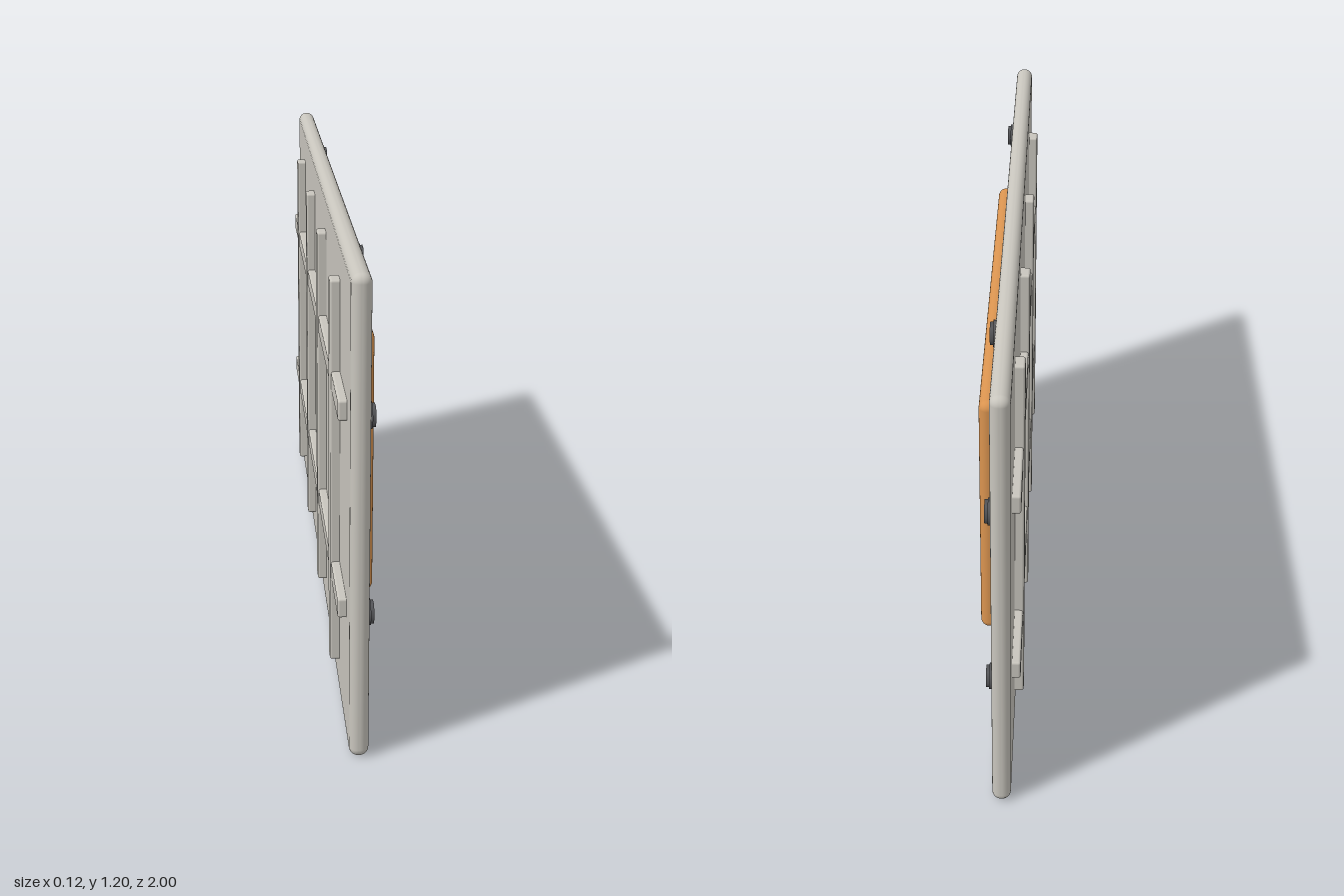
import * as THREE from 'three';
import { RoundedBoxGeometry } from 'three/addons/geometries/RoundedBoxGeometry.js';

export function createModel() {
  const group = new THREE.Group();
  const material = (name, color) => {
    const m = new THREE.MeshStandardMaterial({ color });
    m.name = name;
    return m;
  };
  const paleGrey = material('pale grey', 0xc8c5bd);
  const orange = material('orange', 0xd9934f);
  const darkGrey = material('dark grey', 0x56575a);

  const add = (name, geometry, mat, x, y, z, parent = group) => {
    const mesh = new THREE.Mesh(geometry, mat);
    mesh.name = name;
    mesh.position.set(x, y, z);
    parent.add(mesh);
    return mesh;
  };
  // Rounded slab spanning x0..x1, centred on y and z
  const slab = (name, mat, x0, x1, y, z, height, depth, radius) =>
    add(name, new RoundedBoxGeometry(x1 - x0, height, depth, 4, radius), mat, (x0 + x1) / 2, y, z);

  // Main plate and raised centre pad
  slab('basePlate', paleGrey, -0.035, 0.012, 0.602, 0, 1.196, 2, 0.022);
  slab('centrePad', orange, 0.01, 0.056, 0.603, 0, 0.7, 1.26, 0.022);

  // Grid of stiffening ribs on the rear face
  for (const z of [-0.675, -0.225, 0.225, 0.675])
    slab('verticalRib', paleGrey, -0.059, -0.025, 0.603, z, 1, 0.05, 0.006);
  for (const y of [0.353, 0.853])
    slab('horizontalRib', paleGrey, -0.056, -0.025, y, 0, 0.05, 1.8, 0.006);

  // Bolts: round washer with a hexagonal head
  const washer = new THREE.CylinderGeometry(0.032, 0.032, 0.012, 24).rotateZ(-Math.PI / 2);
  const head = new THREE.CylinderGeometry(0.028, 0.028, 0.016, 6).rotateZ(-Math.PI / 2);
  for (const side of [-1, 1])
    for (const [y, z] of [[1.133, 0.6], [0.073, 0.6], [0.851, 0.922], [0.355, 0.922]]) {
      const bolt = new THREE.Group();
      bolt.name = 'bolt';
      bolt.position.set(0, y, side * z);
      add('boltWasher', washer, darkGrey, 0.013, 0, 0, bolt);
      add('boltHead', head, darkGrey, 0.019, 0, 0, bolt);
      group.add(bolt);
    }
  return group;
}
